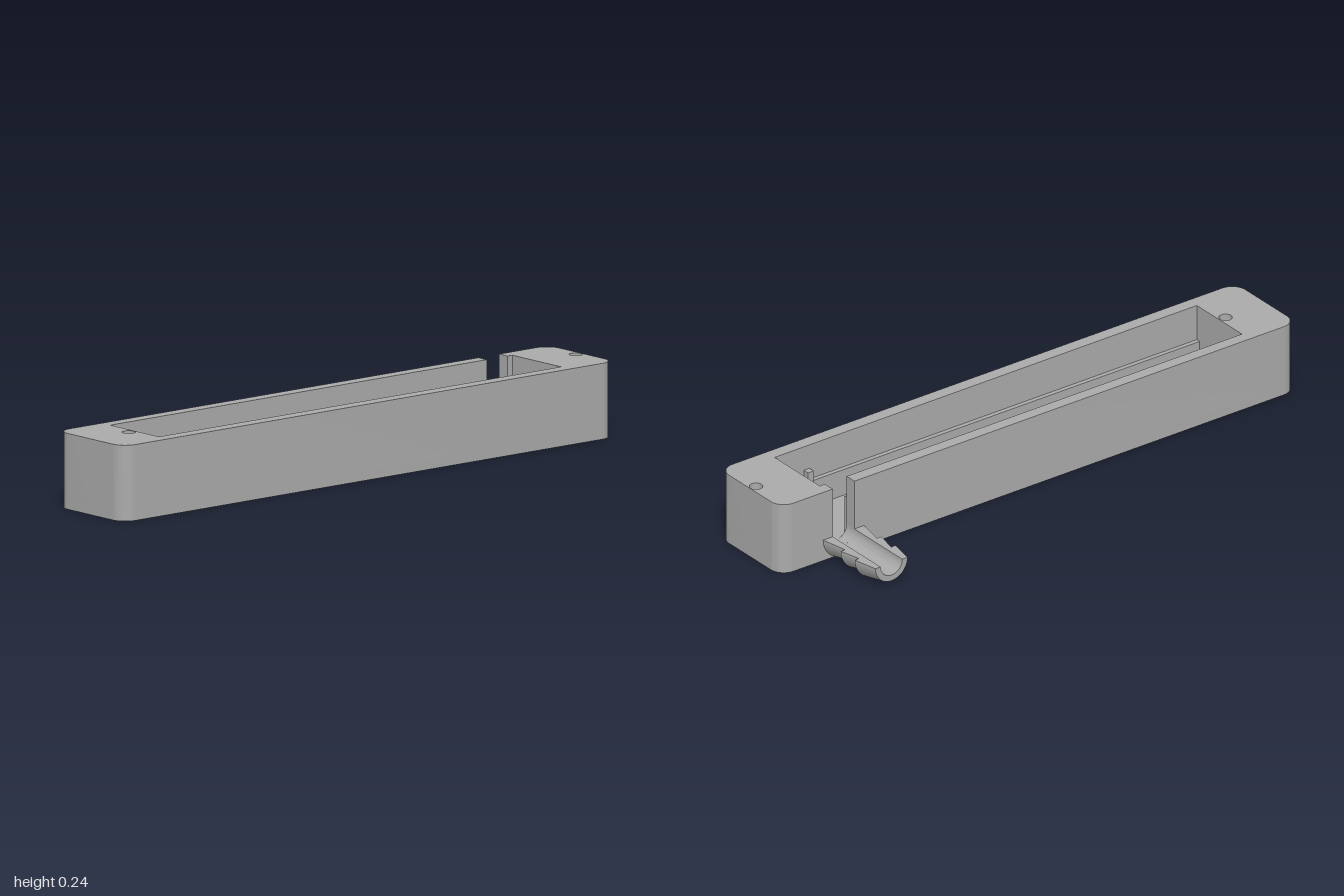
import * as THREE from 'three';
import { toCreasedNormals } from 'three/addons/utils/BufferGeometryUtils.js';

const HEIGHT = 0.24, FLOOR = 0.03, BACK = -0.035, FRONT = 0.28, CORNER = 0.05;
const CAV = { x: 0.818, back: 0.005, front: 0.237 };
const PORT_X = 0.756, PORT_Y = 0.072, BORE = 0.042;

// Plan shapes are drawn in (x, -z) and extruded upward
function slab(shape, y0, y1) {
  const g = new THREE.ExtrudeGeometry(shape, { depth: y1 - y0, bevelEnabled: false, curveSegments: 10 });
  g.rotateX(-Math.PI / 2).translate(0, y0, 0);
  return toCreasedNormals(g, 0.5);
}

// Rounded outer outline, optionally notched through the back wall into the cavity
function outline(open) {
  const s = new THREE.Shape(), r = CORNER, b = -BACK, f = -FRONT;
  s.moveTo(-1 + r, f);
  s.lineTo(1 - r, f);
  s.absarc(1 - r, f + r, r, -Math.PI / 2, 0);
  s.lineTo(1, b - r);
  s.absarc(1 - r, b - r, r, 0, Math.PI / 2);
  if (open) {
    const cb = -CAV.back, cf = -CAV.front;
    s.lineTo(PORT_X + BORE, b);
    s.lineTo(PORT_X + BORE, cb);
    s.lineTo(CAV.x, cb);
    s.lineTo(CAV.x, cf);
    s.lineTo(-CAV.x, cf);
    s.lineTo(-CAV.x, cb);
    s.lineTo(PORT_X - BORE, cb);
    s.lineTo(PORT_X - BORE, b);
  }
  s.lineTo(-1 + r, b);
  s.absarc(-1 + r, b - r, r, Math.PI / 2, Math.PI);
  s.lineTo(-1, f + r);
  s.absarc(-1 + r, f + r, r, Math.PI, Math.PI * 1.5);
  return s;
}

export function createModel() {
  const model = new THREE.Group();
  const grey = new THREE.MeshStandardMaterial({ color: 0xaaaaaa });
  grey.name = 'grey plastic';
  const add = (name, geometry, parent = model) => {
    const m = new THREE.Mesh(geometry, grey);
    m.name = name;
    parent.add(m);
    return m;
  };

  // Housing floor and walls with two screw holes
  add('floor', slab(outline(false), 0, FLOOR));
  const walls = outline(true);
  for (const x of [-0.843, 0.976]) {
    walls.holes.push(new THREE.Path().absarc(x, -0.1225, 0.021, 0, Math.PI * 2, true));
  }
  add('walls', slab(walls, FLOOR, HEIGHT));

  // Support ledges along both long walls, each ending in a square post
  const w = 0.015, ledgeTop = 0.12, postTop = 0.158;
  for (const [wall, dir] of [[CAV.back, 1], [CAV.front, -1]]) {
    const x0 = -CAV.x, x1 = 0.683;
    const ledge = new THREE.BoxGeometry(x1 - x0, ledgeTop - FLOOR, w);
    add('ledge', ledge.translate((x0 + x1) / 2, (ledgeTop + FLOOR) / 2, wall + dir * w / 2));
    const post = new THREE.BoxGeometry(0.022, postTop - FLOOR, 0.022);
    add('post', post.translate(x1 + 0.011, (postTop + FLOOR) / 2, wall + dir * 0.011));
  }

  // Half-round hose port
  const port = new THREE.Group();
  port.name = 'hosePort';
  port.position.set(PORT_X, PORT_Y, 0);
  model.add(port);

  // Corner fillets that round the bottom of the wall slot
  for (const side of [1, -1]) {
    const s = new THREE.Shape();
    s.moveTo(side * BORE, 0);
    s.lineTo(side * BORE, -BORE);
    s.lineTo(0, -BORE);
    if (side > 0) s.absarc(0, 0, BORE, -Math.PI / 2, 0);
    else s.absarc(0, 0, BORE, -Math.PI / 2, -Math.PI, true);
    const g = new THREE.ExtrudeGeometry(s, { depth: CAV.back - BACK, bevelEnabled: false, curveSegments: 12 });
    add('slotSaddle', toCreasedNormals(g.translate(0, 0, BACK), 0.5), port);
  }

  // Barbed half tube: (radius, distance behind the centre)
  const profile = [
    [BORE, 0.035], [0.079, 0.035], [0.062, 0.125], [0.079, 0.125],
    [0.062, 0.197], [0.079, 0.197], [0.062, 0.281], [BORE, 0.281], [BORE, 0.035],
  ].map(([r, d]) => new THREE.Vector2(r, d));
  const tube = new THREE.LatheGeometry(profile, 36, Math.PI / 2, Math.PI).rotateX(-Math.PI / 2);
  // Flatten the underside where the barbs would dip below the base
  const p = tube.attributes.position;
  for (let i = 0; i < p.count; i++) p.setY(i, Math.max(p.getY(i), -PORT_Y));
  add('barbedTube', toCreasedNormals(tube, 0.5), port);

  // Flat faces along the split of the tube
  for (const side of [1, -1]) {
    const pts = profile.slice(0, -1).map((v) => new THREE.Vector2(side * v.x, v.y));
    add('tubeSplitFace', new THREE.ShapeGeometry(new THREE.Shape(pts)).rotateX(-Math.PI / 2), port);
  }
  return model;
}
